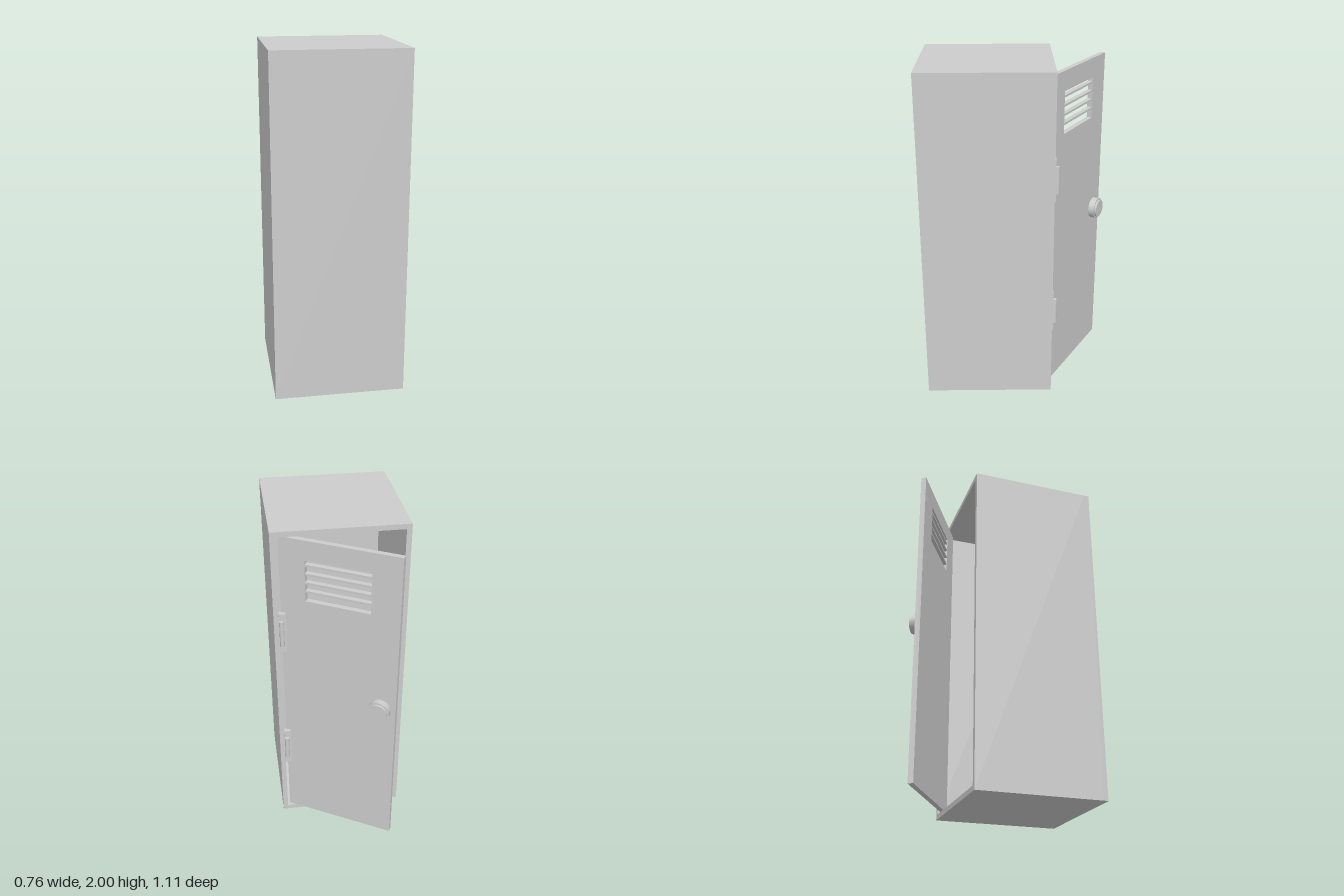
import * as THREE from 'three';

const steel = new THREE.MeshStandardMaterial({ color: 0xcccccc });
steel.name = 'light grey steel';

function add(parent, name, geometry, x = 0, y = 0, z = 0) {
  const mesh = new THREE.Mesh(geometry, steel);
  mesh.name = name;
  mesh.position.set(x, y, z);
  parent.add(mesh);
  return mesh;
}

// Rectangular panel in x/y with one rectangular hole, extruded along +z
function framedPanel([x0, x1, y0, y1], [hx0, hx1, hy0, hy1], depth) {
  const rect = (a, b, c, d) => [[a, c], [b, c], [b, d], [a, d]].map(p => new THREE.Vector2(...p));
  const shape = new THREE.Shape(rect(x0, x1, y0, y1));
  shape.holes.push(new THREE.Path(rect(hx0, hx1, hy0, hy1)));
  return new THREE.ExtrudeGeometry(shape, { depth, bevelEnabled: false });
}

export function createModel() {
  const locker = new THREE.Group();
  locker.name = 'locker';

  // Cabinet: hollow shell open towards -z, closed by a rear panel
  const wall = 0.03, half = 0.38, mouth = -0.205, rear = 0.555;
  add(locker, 'cabinetShell',
    framedPanel([-half, half, 0, 2], [-half + wall, half - wall, wall, 2 - wall], rear - wall - mouth),
    0, 0, mouth);
  add(locker, 'cabinetRearPanel', new THREE.BoxGeometry(half * 2, 2, wall), 0, 1, rear - wall / 2);

  // Hinges: leaf plate with a round barrel
  for (const y of [0.545, 1.385]) {
    const hinge = new THREE.Group();
    hinge.name = 'hinge';
    hinge.position.set(0.337, y, -0.213);
    add(hinge, 'hingeLeaf', new THREE.BoxGeometry(0.038, 0.25, 0.03), -0.006, 0, 0.015);
    add(hinge, 'hingeBarrel', new THREE.CylinderGeometry(0.013, 0.013, 0.16, 24), 0, 0, -0.006);
    add(hinge, 'hingeBarrelSeat', new THREE.BoxGeometry(0.026, 0.16, 0.008), 0, 0, -0.002);
    locker.add(hinge);
  }

  // Door, swung open about its hinge edge; local -z is its outer face
  const door = new THREE.Group();
  door.name = 'door';
  door.position.set(0.335, 0, -0.185);
  door.rotation.y = -Math.PI / 6;
  locker.add(door);
  const thick = 0.031, left = -0.526, right = -0.15;
  add(door, 'doorPanel', framedPanel([-0.69, 0, 0.035, 1.97], [left, right, 1.61, 1.855], thick));

  // Vent slats
  for (let i = 0; i < 4; i++) {
    add(door, 'ventSlat', new THREE.BoxGeometry(right - left, 0.012, thick - 0.002),
      (left + right) / 2, 1.667 + i * 0.0527, thick / 2);
  }

  // Round knob: wide base and smaller cap
  const knob = new THREE.Group();
  knob.name = 'knob';
  knob.position.set(-0.597, 1, 0);
  knob.rotation.x = -Math.PI / 2;
  add(knob, 'knobBase', new THREE.CylinderGeometry(0.064, 0.064, 0.037, 40), 0, 0.0185, 0);
  add(knob, 'knobCap', new THREE.CylinderGeometry(0.054, 0.054, 0.014, 40), 0, 0.042, 0);
  door.add(knob);

  return locker;
}
